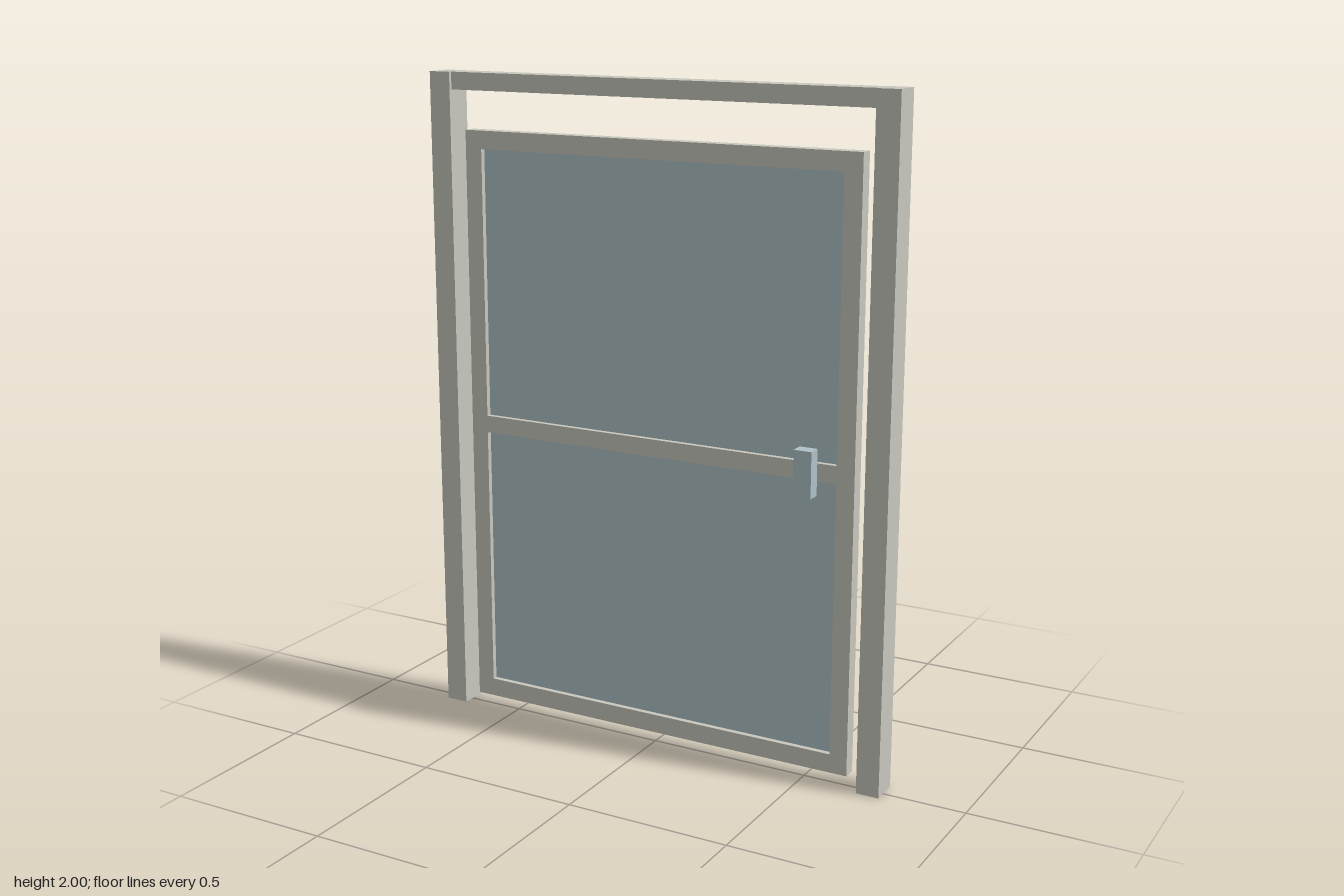
import * as THREE from 'three';

export function createModel() {
  const model = new THREE.Group();
  model.name = 'framedDoor';

  const frameMat = new THREE.MeshStandardMaterial({ color: 0xc8c7be });
  frameMat.name = 'warm grey frame';
  const glassMat = new THREE.MeshStandardMaterial({ color: 0xafc2c8 });
  glassMat.name = 'pale blue glass';

  // Box given by its extents on each axis
  const box = (name, parent, mat, [x0, x1], [y0, y1], [z0, z1]) => {
    const mesh = new THREE.Mesh(new THREE.BoxGeometry(x1 - x0, y1 - y0, z1 - z0), mat);
    mesh.position.set((x0 + x1) / 2, (y0 + y1) / 2, (z0 + z1) / 2);
    mesh.name = name;
    parent.add(mesh);
  };

  // Outer frame: two deep posts and a shallower head beam
  const frame = new THREE.Group();
  frame.name = 'outerFrame';
  const postZ = [-0.052, 0.035];
  box('rightPost', frame, frameMat, [-0.75, -0.68], [0, 2], postZ);
  box('leftPost', frame, frameMat, [0.68, 0.75], [0, 2], postZ);
  box('headBeam', frame, frameMat, [-0.68, 0.68], [1.948, 2], [-0.045, 0.025]);
  model.add(frame);

  // Door leaf: one extruded panel with two window openings
  const door = new THREE.Group();
  door.name = 'door';
  const rect = (path, x0, x1, y0, y1) =>
    path.moveTo(x0, y0).lineTo(x1, y0).lineTo(x1, y1).lineTo(x0, y1).closePath();
  const paneX = [-0.588, 0.584];
  const panes = { lowerPane: [0.09, 0.905], upperPane: [0.958, 1.775] };

  const outline = new THREE.Shape();
  rect(outline, -0.643, 0.639, 0.033, 1.83);
  for (const y of Object.values(panes)) {
    const hole = new THREE.Path();
    rect(hole, ...paneX, ...y);
    outline.holes.push(hole);
  }
  const leaf = new THREE.Mesh(
    new THREE.ExtrudeGeometry(outline, { depth: 0.042, bevelEnabled: false }), frameMat);
  leaf.position.z = -0.031;
  leaf.name = 'doorLeaf';
  door.add(leaf);

  // Recessed glass panes
  for (const [name, y] of Object.entries(panes)) {
    box(name, door, glassMat, paneX, y, [-0.015, -0.005]);
  }

  // Handle block on the front
  box('handle', door, glassMat, [0.47, 0.525], [0.863, 1.0], [0.011, 0.052]);
  model.add(door);

  return model;
}
